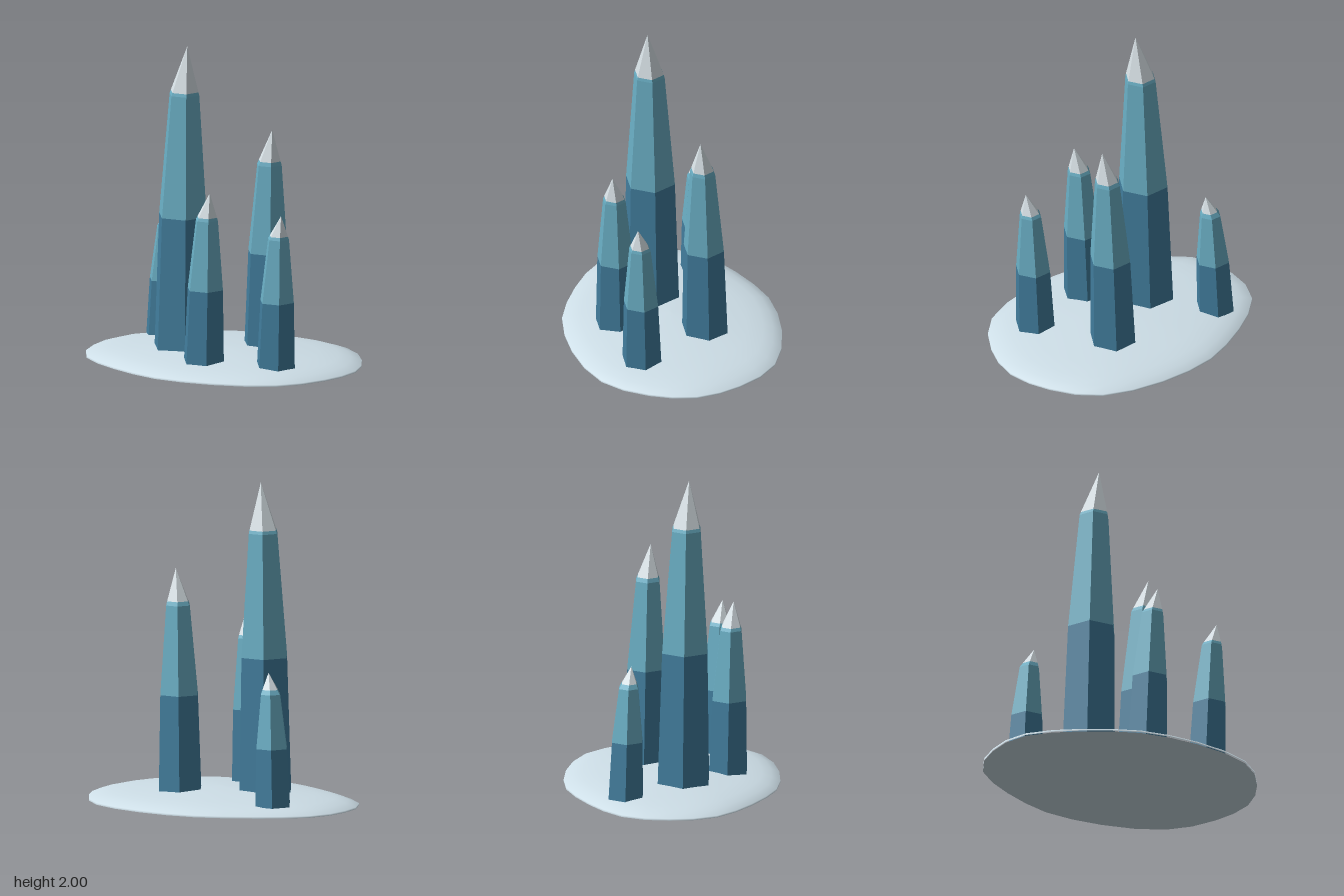
import * as THREE from 'three';

const mat = (name, color) => {
  const m = new THREE.MeshStandardMaterial({ color });
  m.name = name;
  return m;
};

// Geometry through a list of rings (equal point counts, bottom to top)
function loft(rings, flat) {
  const n = rings[0].length, pos = [], idx = [];
  rings.forEach(r => r.forEach(p => pos.push(p[0], p[1], p[2])));
  for (let i = 0; i < rings.length - 1; i++) {
    for (let k = 0; k < n; k++) {
      const a = i * n + k, b = i * n + (k + 1) % n;
      idx.push(a, a + n, b, b, a + n, b + n);
    }
  }
  let g = new THREE.BufferGeometry();
  g.setAttribute('position', new THREE.Float32BufferAttribute(pos, 3));
  g.setIndex(idx);
  if (flat) g = g.toNonIndexed();
  g.computeVertexNormals();
  return g;
}

export function createModel() {
  const group = new THREE.Group();
  const snow = mat('pale ground', 0xd0e1ea);
  const deep = mat('deep blue crystal', 0x427e9e);
  const light = mat('light blue crystal', 0x6bb0c6);
  const white = mat('white tip', 0xdde7ec);

  // Ground mound: half outline mirrored across z, running with increasing angle towards +z
  const half = [
    [0.88, 0], [0.855, 0.15], [0.8, 0.285], [0.71, 0.43], [0.585, 0.545], [0.405, 0.62], [0.2, 0.66],
    [0, 0.67], [-0.19, 0.65], [-0.36, 0.59], [-0.53, 0.505], [-0.68, 0.41], [-0.805, 0.295], [-0.87, 0.15], [-0.885, 0],
  ];
  const outline = [...half, ...half.slice(1, -1).reverse().map(([x, z]) => [x, -z])];
  const profile = [[1, 0.005], [1, 0.017], [0.92, 0.04], [0.83, 0.058], [0.68, 0.072], [0.45, 0.088], [0.2, 0.097], [0, 0.1]];
  const mound = new THREE.Mesh(
    loft(profile.map(([s, y]) => outline.map(([x, z]) => [x * s, y, z * s]))), snow);
  mound.name = 'groundMound';
  group.add(mound);

  const under = new THREE.Mesh(
    new THREE.ShapeGeometry(new THREE.Shape(outline.map(([x, z]) => new THREE.Vector2(x, z)))), snow);
  under.geometry.rotateX(Math.PI / 2);
  under.name = 'groundUnderside';
  group.add(under);

  // Leaning six-sided crystals: base centre, radius, heights of the bands, tip
  const crystals = [
    { name: 'tallCrystal', x: -0.26, z: 0.075, r: 0.182, mid: 0.92, shoulder: 1.69, cut: 1.71, tip: [-0.205, 2, 0.11] },
    { name: 'backCrystal', x: 0.205, z: -0.175, r: 0.15, mid: 0.68, shoulder: 1.235, cut: 1.26, tip: [0.26, 1.46, -0.137] },
    { name: 'frontCrystal', x: 0.01, z: 0.345, r: 0.135, mid: 0.535, shoulder: 0.975, cut: 0.995, tip: [0.065, 1.15, 0.38] },
    { name: 'leftCrystal', x: 0.462, z: 0.268, r: 0.128, mid: 0.48, shoulder: 0.88, cut: 0.9, tip: [0.512, 1.03, 0.302] },
    { name: 'rightCrystal', x: -0.528, z: -0.275, r: 0.122, mid: 0.415, shoulder: 0.75, cut: 0.778, tip: [-0.478, 0.88, -0.242] },
  ];

  for (const c of crystals) {
    const [tx, ty, tz] = c.tip;
    // lean is the share of the tip's offset reached at this height
    const ring = (y, scale, lean) => Array.from({ length: 6 }, (_, k) => {
      const a = k * Math.PI / 3;
      return [
        c.x + (tx - c.x) * lean + Math.cos(a) * c.r * scale, y,
        c.z + (tz - c.z) * lean + Math.sin(a) * c.r * scale,
      ];
    });
    const t = (c.cut - c.shoulder) / (ty - c.shoulder);
    const base = ring(0.055, 1, 0);
    const mid = ring(c.mid, 0.88, 0.25);
    const shoulder = ring(c.shoulder, 0.55, 0.52);
    const cut = ring(c.cut, 0.55 * (1 - t), 0.52 + 0.48 * t);
    const tip = ring(ty, 0, 1);

    const crystal = new THREE.Group();
    crystal.name = c.name;
    const add = (name, rings, material) => {
      const mesh = new THREE.Mesh(loft(rings, true), material);
      mesh.name = name;
      crystal.add(mesh);
    };
    add('lowerShaft', [base, mid], deep);
    add('upperShaft', [mid, shoulder, cut], light);
    add('point', [cut, tip], white);
    group.add(crystal);
  }

  return group;
}
